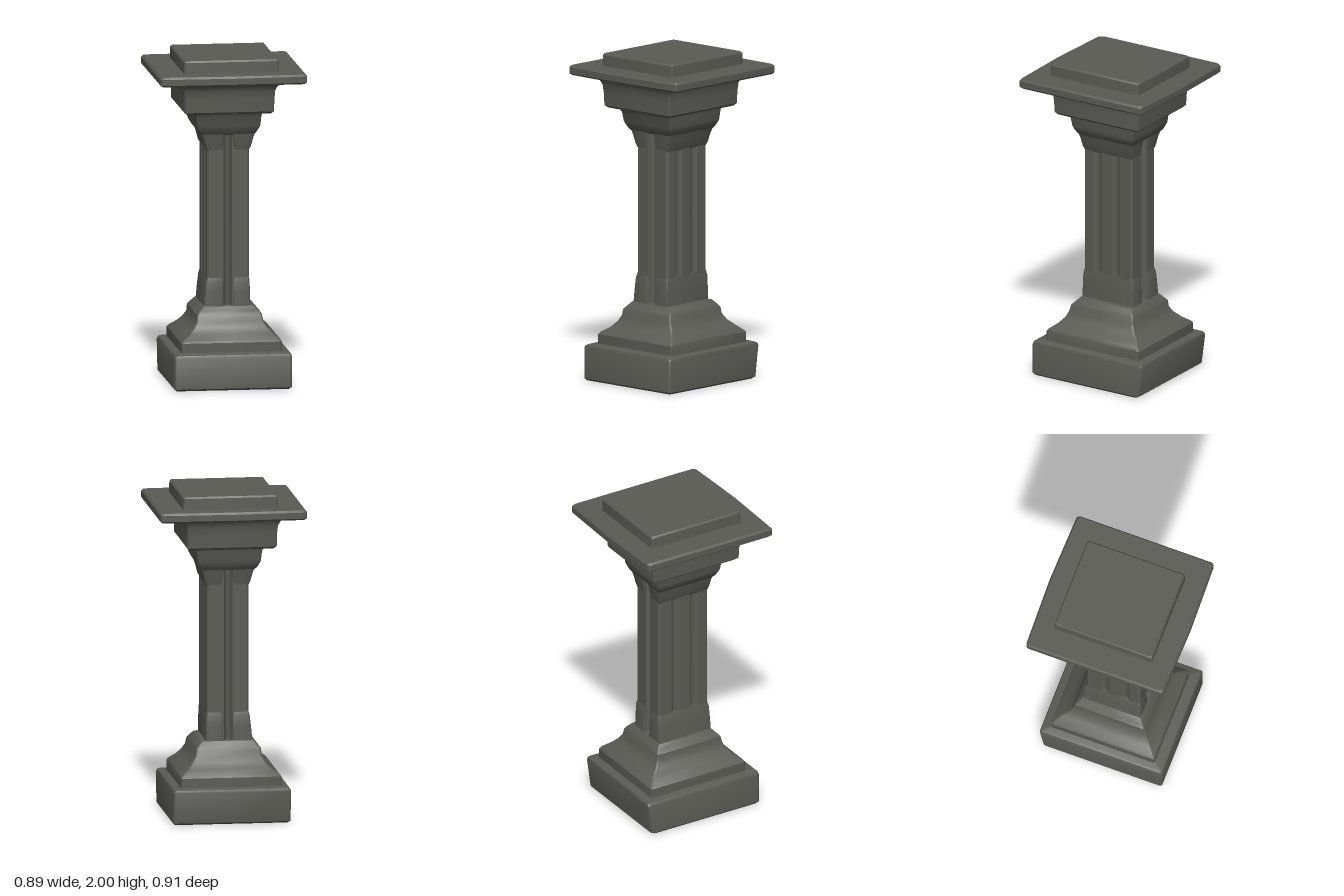
import * as THREE from 'three';
import { toCreasedNormals } from 'three/addons/utils/BufferGeometryUtils.js';

const stone = new THREE.MeshStandardMaterial({ color: 0x5a5b54 });
stone.name = 'dark stone';

// Rounded rectangle ring: corner arcs plus a bulged midpoint on each side
function ring([y, x0, x1, z0, z1], r, bulge) {
  const pts = [];
  const corners = [[x1 - r, z1 - r], [x0 + r, z1 - r], [x0 + r, z0 + r], [x1 - r, z0 + r]];
  const cx = (x0 + x1) / 2, cz = (z0 + z1) / 2;
  const mids = [[cx, z1 + bulge], [x0, cz], [cx, z0 - bulge], [x1, cz]];
  corners.forEach(([x, z], q) => {
    for (let i = 0; i <= 3; i++) {
      const a = (q + i / 3) * Math.PI / 2;
      pts.push([x + r * Math.cos(a), y, z + r * Math.sin(a)]);
    }
    pts.push([mids[q][0], y, mids[q][1]]);
  });
  return pts;
}

// Closed loft through rows of [y, xMin, xMax, zMin, zMax]
function loft(name, rows, r = 0.012, bulge = 0) {
  const pos = [], rings = rows.map(row => ring(row, r, bulge));
  const n = rings[0].length;
  const tri = (...p) => p.forEach(v => pos.push(...v));
  for (let k = 0; k + 1 < rings.length; k++) {
    for (let i = 0; i < n; i++) {
      const j = (i + 1) % n, a = rings[k], b = rings[k + 1];
      tri(a[i], b[i], a[j]);
      tri(b[i], b[j], a[j]);
    }
  }
  const centre = ([y, x0, x1, z0, z1]) => [(x0 + x1) / 2, y, (z0 + z1) / 2];
  const lo = rings[0], hi = rings[rings.length - 1];
  for (let i = 0; i < n; i++) {
    const j = (i + 1) % n;
    tri(centre(rows[0]), lo[i], lo[j]);
    tri(centre(rows[rows.length - 1]), hi[j], hi[i]);
  }
  const g = new THREE.BufferGeometry();
  g.setAttribute('position', new THREE.Float32BufferAttribute(pos, 3));
  return mesh(name, g);
}

function mesh(name, geometry) {
  const m = new THREE.Mesh(toCreasedNormals(geometry, 0.6), stone);
  m.name = name;
  return m;
}

// Shaft outline: one deep groove front and back, two shallow flutes on each side
function shaftShape() {
  const w = 0.128, d = 0.174, c = 0.012;
  const s = new THREE.Shape();
  s.moveTo(w - c, -d);
  s.lineTo(w, -d + c);
  for (const z of [-0.075, 0.055]) {
    s.lineTo(w, z - 0.03);
    s.quadraticCurveTo(w - 0.03, z, w, z + 0.03);
  }
  s.lineTo(w, d - c);
  s.lineTo(w - c, d);
  s.lineTo(0.022, d);
  s.quadraticCurveTo(-0.003, d - 0.08, -0.028, d);
  s.lineTo(-w + c, d);
  s.lineTo(-w, d - c);
  for (const z of [0.055, -0.075]) {
    s.lineTo(-w, z + 0.03);
    s.quadraticCurveTo(-w + 0.03, z, -w, z - 0.03);
  }
  s.lineTo(-w, -d + c);
  s.lineTo(-w + c, -d);
  s.lineTo(-0.028, -d);
  s.quadraticCurveTo(-0.003, -d + 0.08, 0.022, -d);
  return s;
}

export function createModel() {
  const g = new THREE.Group();
  g.name = 'pedestal';

  // Square plinth, its back leaning out slightly
  g.add(loft('plinth', [
    [0, -0.345, 0.345, -0.345, 0.385],
    [0.012, -0.357, 0.357, -0.365, 0.398],
    [0.2, -0.358, 0.358, -0.39, 0.398],
    [0.215, -0.35, 0.353, -0.385, 0.392],
    [0.222, -0.335, 0.34, -0.37, 0.375],
  ], 0.015));

  // Stepped, sloping base moulding
  g.add(loft('baseMoulding', [
    [0.21, -0.305, 0.305, -0.335, 0.33],
    [0.28, -0.305, 0.305, -0.335, 0.33],
    [0.293, -0.295, 0.298, -0.325, 0.32],
    [0.325, -0.25, 0.26, -0.29, 0.278],
    [0.36, -0.22, 0.228, -0.25, 0.248],
    [0.395, -0.2, 0.206, -0.23, 0.234],
    [0.435, -0.197, 0.198, -0.225, 0.224],
    [0.455, -0.18, 0.185, -0.21, 0.205],
    [0.48, -0.158, 0.16, -0.192, 0.183],
    [0.483, -0.14, 0.135, -0.17, 0.17],
  ]));

  // Fluted shaft
  const shaft = new THREE.ExtrudeGeometry(shaftShape(), { depth: 1.08, bevelEnabled: false, curveSegments: 8 });
  shaft.rotateX(-Math.PI / 2).translate(0, 0.46, 0);
  g.add(mesh('shaft', shaft));

  // Blocks that close the flutes at the foot and neck, leaving the middle groove open
  for (const side of [-1, 1]) {
    const span = (a, b) => side < 0 ? [-b, -a] : [a, b];
    const flare = side < 0 ? 0.02 : 0.003;
    g.add(loft(side < 0 ? 'rightFoot' : 'leftFoot', [
      [0.47, ...span(0.028, 0.13 + flare), -0.186, 0.184],
      [0.56, ...span(0.028, 0.13 + flare * 0.6), -0.183, 0.182],
      [0.63, ...span(0.028, 0.13 + flare * 0.2), -0.18, 0.179],
      [0.66, ...span(0.035, 0.126), -0.172, 0.172],
    ], 0.01));
    g.add(loft(side < 0 ? 'rightNeck' : 'leftNeck', [
      [1.425, ...span(0.04, 0.125), -0.172, 0.172],
      [1.45, ...span(0.032, 0.138), -0.178, 0.178],
      [1.5, ...span(0.028, 0.15), -0.186, 0.186],
      [1.535, ...span(0.028, 0.162), -0.195, 0.192],
    ], 0.01));
  }

  // Lower capital moulding
  g.add(loft('lowerCapital', [
    [1.525, -0.16, 0.155, -0.19, 0.185],
    [1.54, -0.175, 0.168, -0.205, 0.2],
    [1.57, -0.192, 0.185, -0.217, 0.213],
    [1.585, -0.197, 0.19, -0.222, 0.22],
    [1.64, -0.202, 0.195, -0.228, 0.23],
    [1.665, -0.212, 0.2, -0.235, 0.245],
    [1.69, -0.225, 0.215, -0.25, 0.26],
  ]));

  // Upper capital, sweeping out under the slab
  g.add(loft('upperCapital', [
    [1.668, -0.265, 0.25, -0.285, 0.285],
    [1.682, -0.282, 0.262, -0.3, 0.3],
    [1.76, -0.283, 0.264, -0.305, 0.305],
    [1.81, -0.288, 0.268, -0.31, 0.31],
    [1.84, -0.302, 0.282, -0.322, 0.325],
    [1.86, -0.33, 0.31, -0.345, 0.35],
    [1.875, -0.385, 0.365, -0.395, 0.4],
  ]));

  // Broad slab with gently bowed front and back edges
  g.add(loft('slab', [
    [1.865, -0.435, 0.435, -0.432, 0.426],
    [1.875, -0.447, 0.445, -0.444, 0.438],
    [1.912, -0.447, 0.445, -0.444, 0.438],
    [1.924, -0.437, 0.436, -0.434, 0.428],
  ], 0.02, 0.012));

  // Raised top block
  g.add(loft('topBlock', [
    [1.91, -0.288, 0.292, -0.322, 0.31],
    [1.99, -0.286, 0.29, -0.32, 0.308],
    [2, -0.278, 0.282, -0.312, 0.3],
  ]));

  return g;
}
